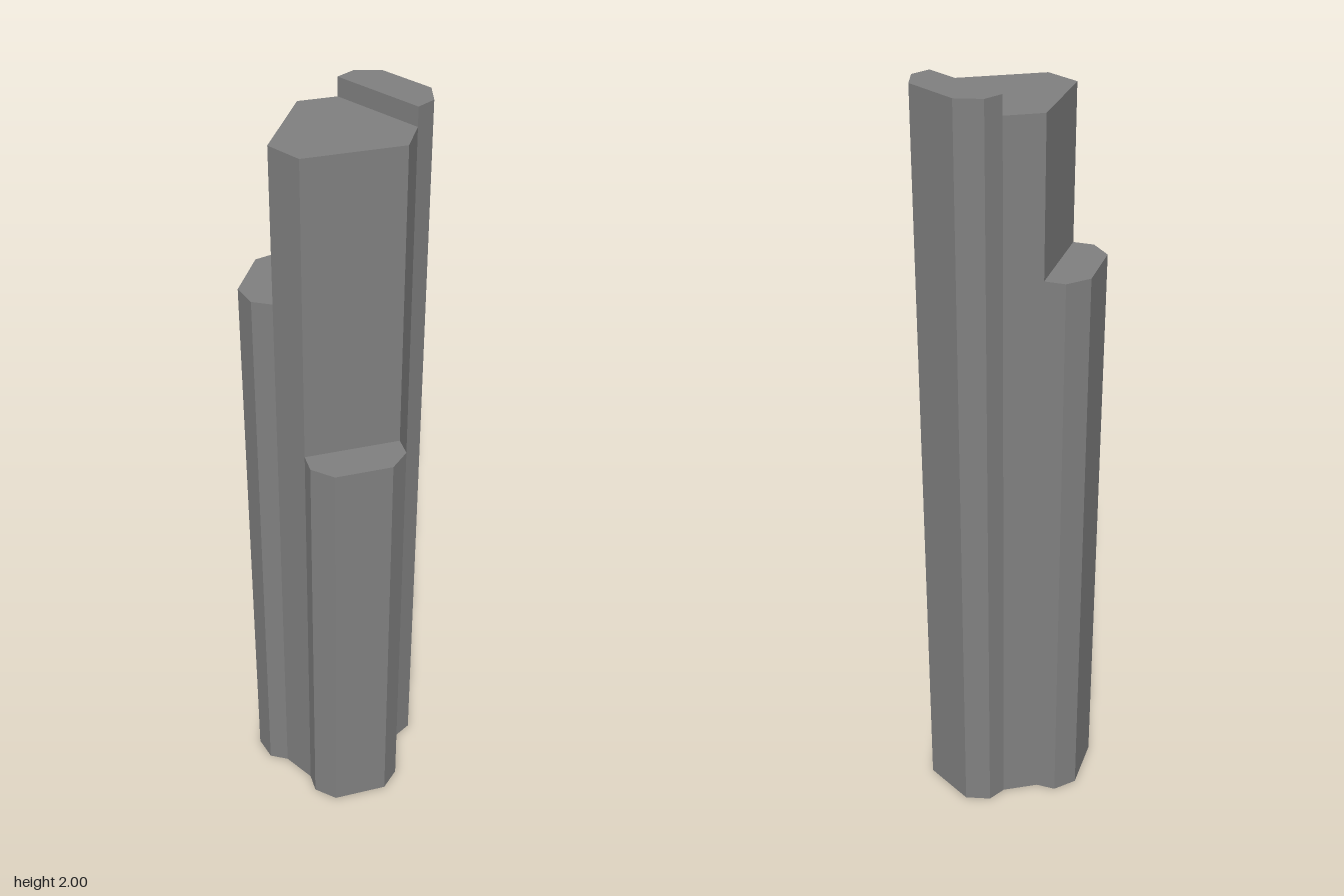
import * as THREE from 'three';

const CORE_TOP = 1.953;
const CENTRE_Z = -0.0157;
// Wing outline from its left joint with the core to its right joint [x, z]
const WING = [[-0.122, 0.126], [-0.122, 0.178], [-0.0735, 0.2247], [0.0735, 0.2247], [0.122, 0.178], [0.122, 0.126]];
const WINGS = [
  { name: 'frontWing', top: 1.17 },
  { name: 'tallWing', top: 2 },
  { name: 'middleWing', top: 1.56 },
];

// Outline turned about the core's axis by a multiple of 120 degrees
function turned(index) {
  const a = index * Math.PI * 2 / 3, c = Math.cos(a), s = Math.sin(a);
  return WING.map(([x, z]) => [x * c + z * s, z * c - x * s + CENTRE_Z]);
}

// Upright wall along a line of points
function wall(out, pts, y0, y1) {
  for (let i = 0; i < pts.length - 1; i++) {
    const [ax, az] = pts[i], [bx, bz] = pts[i + 1];
    out.push(ax, y0, az, bx, y0, bz, bx, y1, bz, ax, y0, az, bx, y1, bz, ax, y1, az);
  }
}

// Flat convex top
function cap(out, pts, y) {
  for (let i = 1; i < pts.length - 1; i++) {
    for (const [x, z] of [pts[0], pts[i], pts[i + 1]]) out.push(x, y, z);
  }
}

function part(name, positions, material) {
  const geometry = new THREE.BufferGeometry();
  geometry.setAttribute('position', new THREE.Float32BufferAttribute(positions, 3));
  geometry.computeVertexNormals();
  const mesh = new THREE.Mesh(geometry, material);
  mesh.name = name;
  return mesh;
}

export function createModel() {
  const model = new THREE.Group();
  model.name = 'steppedTower';
  const grey = new THREE.MeshStandardMaterial({ color: 0x808080 });
  grey.name = 'grey';
  grey.side = THREE.DoubleSide; // hollow shell, open underneath

  const core = [], hexagon = [];
  WINGS.forEach(({ name, top }, i) => {
    const pts = turned(i), first = pts[0], last = pts[5];
    const wing = [];
    wall(wing, pts, 0, top);
    cap(wing, pts, top);
    // Step between wing and core, facing whichever is lower
    if (top > CORE_TOP) wall(wing, [last, first], CORE_TOP, top);
    else wall(core, [first, last], top, CORE_TOP);
    model.add(part(name, wing, grey));
    // Core face between this wing and the next
    wall(core, [last, turned(i + 1)[0]], 0, CORE_TOP);
    hexagon.push(first, last);
  });
  cap(core, hexagon, CORE_TOP);
  model.add(part('core', core, grey));
  return model;
}
